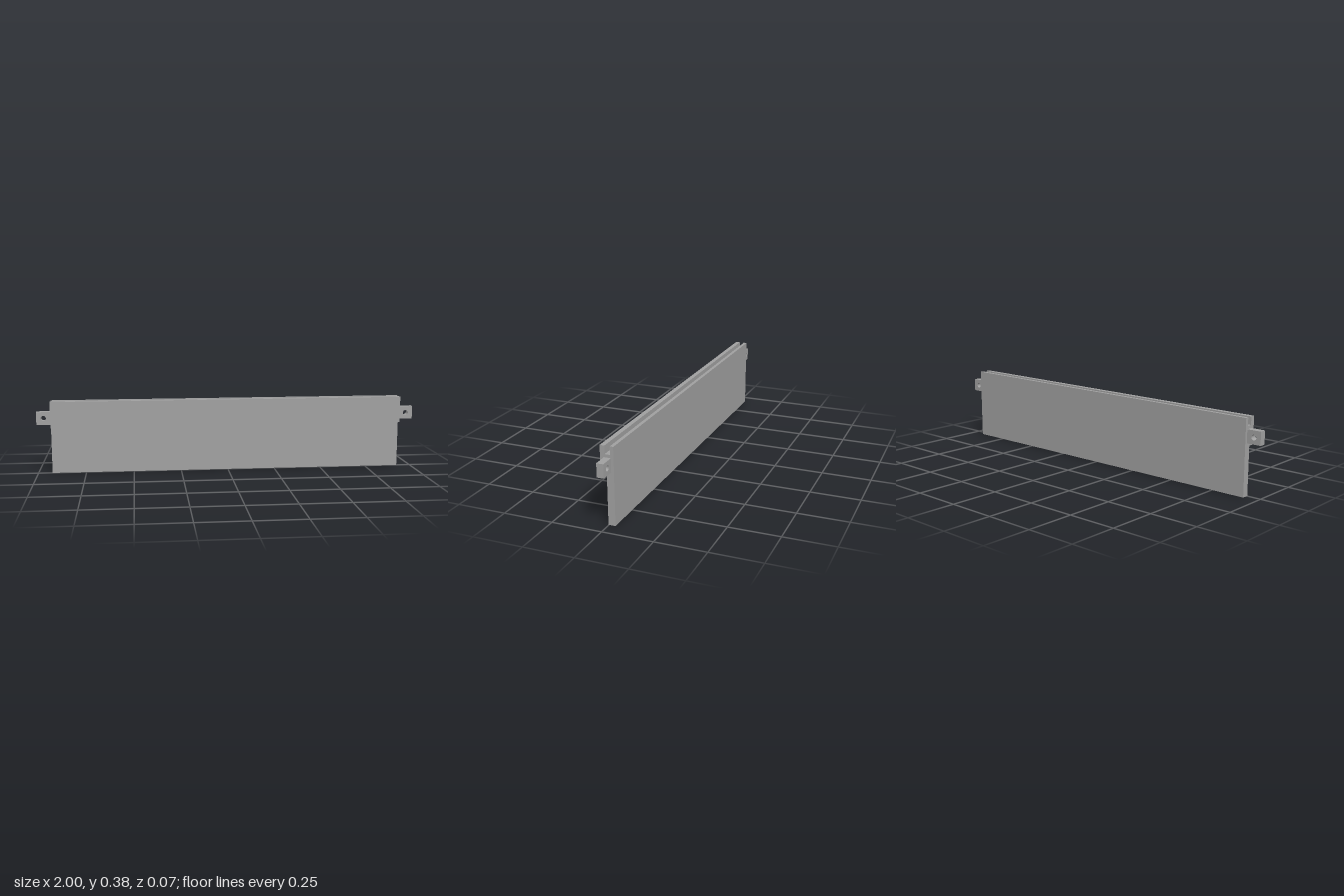
import * as THREE from 'three';

const grey = new THREE.MeshStandardMaterial({ name: 'plain grey', color: 0xa0a0a0 });

// Extrude a closed outline, centred on the extrusion axis
function extrude(shape, depth) {
  const geometry = new THREE.ExtrudeGeometry(shape, { depth, bevelEnabled: false, curveSegments: 24 });
  return geometry.translate(0, 0, -depth / 2);
}

export function createModel() {
  const model = new THREE.Group();
  model.name = 'slottedRail';
  const halfBody = 0.927;

  // Cross-section as [z, y]: thin rear plate, thick front lip, slot in the top edge
  const profile = [
    [0.002, 0], [-0.033, 0], [-0.033, 0.381], [-0.016, 0.381], [-0.016, 0.341],
    [0.01, 0.341], [0.01, 0.381], [0.033, 0.381], [0.033, 0.244], [0.002, 0.244],
  ];
  const section = new THREE.Shape(profile.map(([z, y]) => new THREE.Vector2(-z, y)));
  const rail = new THREE.Mesh(extrude(section, halfBody * 2).rotateY(Math.PI / 2), grey);
  rail.name = 'rail';
  model.add(rail);

  // Pierced mounting lugs at both ends
  const lugWidth = 1 - halfBody, lugHeight = 0.067;
  const outline = new THREE.Shape([
    [-1, -1], [1, -1], [1, 1], [-1, 1],
  ].map(([x, y]) => new THREE.Vector2(x * lugWidth / 2, y * lugHeight / 2)));
  outline.holes.push(new THREE.Path().absarc(0, 0, 0.0135, 0, Math.PI * 2, true));
  const lugGeometry = extrude(outline, 0.034);
  for (const side of [-1, 1]) {
    const lug = new THREE.Mesh(lugGeometry, grey);
    lug.name = side > 0 ? 'leftLug' : 'rightLug';
    lug.position.set(side * (halfBody + lugWidth / 2), 0.2925, -0.003);
    model.add(lug);
  }
  return model;
}
